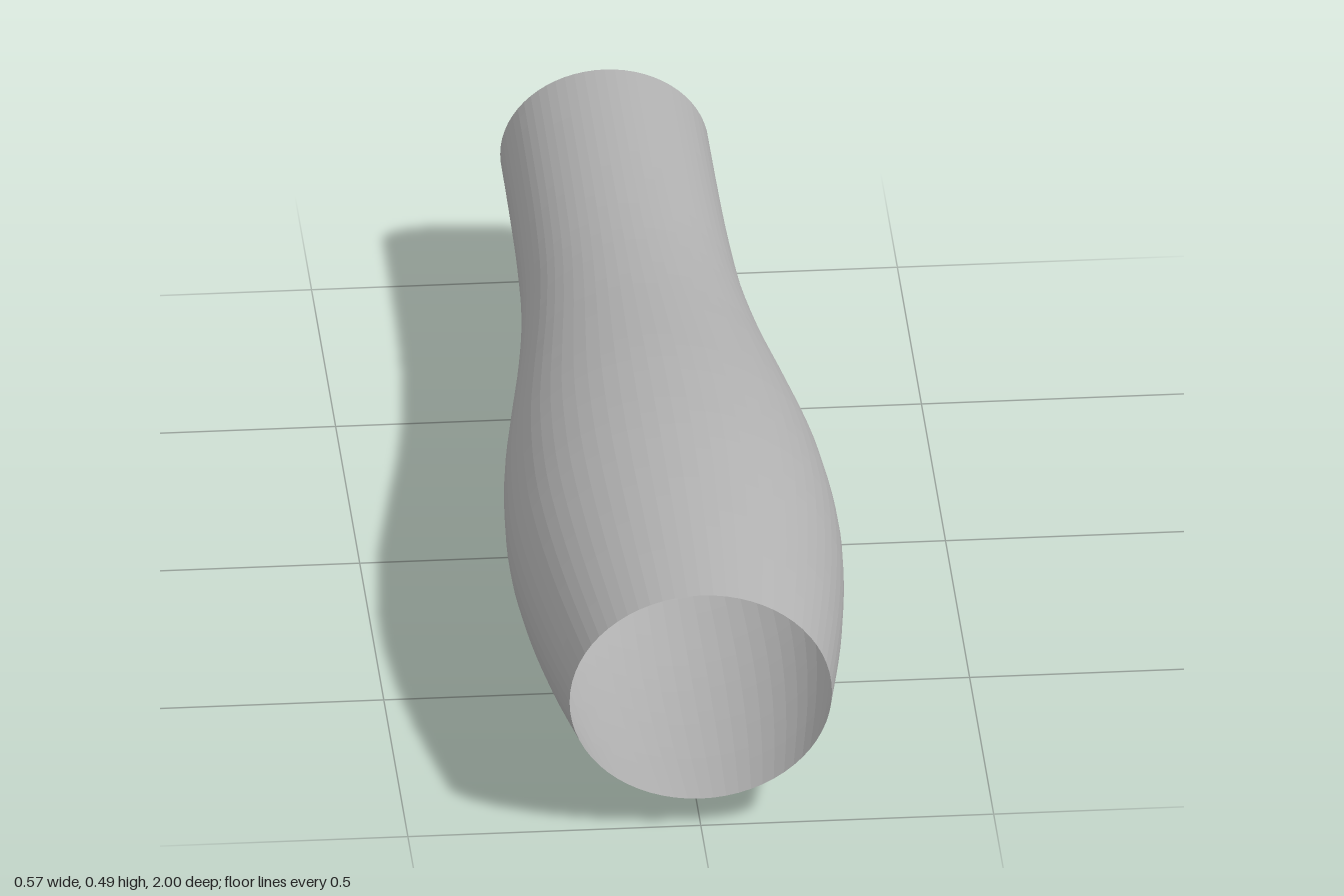
import * as THREE from 'three';

export function createModel() {
  const model = new THREE.Group();
  const grey = new THREE.MeshStandardMaterial({ color: 0xb0b0b0, side: THREE.DoubleSide, flatShading: true });
  grey.name = 'grey';

  // Half-width of the sleeve along its length: [radius, z]
  const profile = new THREE.SplineCurve([
    [0.178, -1], [0.179, -0.8], [0.182, -0.6], [0.191, -0.4], [0.213, -0.2], [0.243, 0],
    [0.27, 0.2], [0.283, 0.42], [0.277, 0.6], [0.256, 0.8], [0.224, 1],
  ].map(([r, z]) => new THREE.Vector2(r, z)));

  // Open, bulging sleeve with an oval section, laid along z
  const geometry = new THREE.LatheGeometry(profile.getPoints(40), 64);
  geometry.rotateX(Math.PI / 2);
  geometry.scale(1, 0.872, 1);
  geometry.translate(0, 0.247, 0);

  const sleeve = new THREE.Mesh(geometry, grey);
  sleeve.name = 'sleeve';
  model.add(sleeve);
  return model;
}
